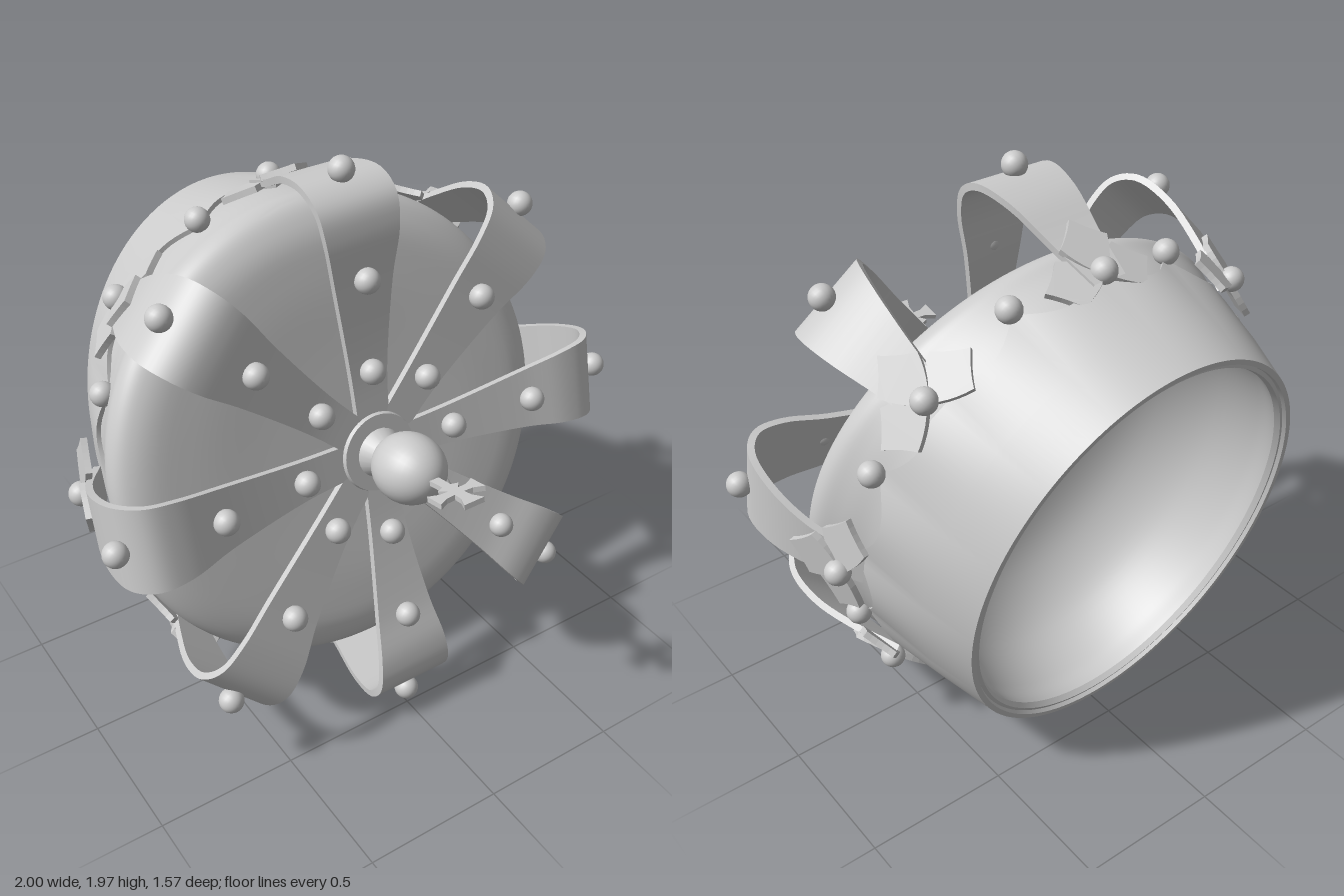
import * as THREE from 'three';
import { toCreasedNormals } from 'three/addons/utils/BufferGeometryUtils.js';

const silver = new THREE.MeshStandardMaterial({ color: 0xcccccc });
silver.name = 'silver';

function part(name, geometry, parent, x = 0, y = 0, z = 0) {
  const mesh = new THREE.Mesh(geometry, silver);
  mesh.name = name;
  mesh.position.set(x, y, z);
  parent.add(mesh);
  return mesh;
}

// Skin of n-sided closed loops, stacked over rows; point(i, j) returns [x, y, z]
function skin(n, rows, point, crease = 0.7) {
  const pos = [], idx = [];
  for (let j = 0; j < rows; j++) for (let i = 0; i < n; i++) pos.push(...point(i, j));
  for (let j = 0; j < rows - 1; j++) for (let i = 0; i < n; i++) {
    const k = (i + 1) % n, a = j * n + i, b = j * n + k, c = b + n, d = a + n;
    idx.push(a, b, c, a, c, d);
  }
  const g = new THREE.BufferGeometry();
  g.setAttribute('position', new THREE.Float32BufferAttribute(pos, 3));
  g.setIndex(idx);
  return toCreasedNormals(g, crease);
}

// Oval revolution: rows of [half width, half depth, height]; edge adds to the height
function oval(rows, edge = () => 0, n = 128) {
  return skin(n, rows.length, (i, j) => {
    const a = (i / n) * Math.PI * 2, [w, d, h] = rows[j];
    return [w * Math.sin(a), h + edge(a, j), d * Math.cos(a)];
  });
}

// Smooth the rows of a profile
function smooth(rows, count) {
  return new THREE.CatmullRomCurve3(rows.map(r => new THREE.Vector3(...r)))
    .getPoints(count).map(p => [Math.max(p.x, 0), Math.max(p.y, 0), p.z]);
}

// Curved strap, wider at the shoulder, from the hub out and down to the band
function strapGeometry(angle) {
  const foot = 0.82 - 0.03 * Math.cos(2 * angle + Math.PI);
  const pts = [[0.1, 0.885], [0.29, 0.895], [0.6, 0.932], [0.76, 0.962], [0.86, 0.95], [0.92, 0.88],
    [0.93, 0.74], [0.885, 0.56], [foot, 0.39]];
  const widths = [0.06, 0.07, 0.108, 0.135, 0.145, 0.145, 0.125, 0.09, 0.06];
  const curve = new THREE.CatmullRomCurve3(pts.map(([r, h], i) => new THREE.Vector3(widths[i], h, r)));
  const rows = 41;
  return skin(4, rows, (i, j) => {
    const p = curve.getPoint(j / (rows - 1)), t = curve.getTangent(j / (rows - 1));
    const len = Math.hypot(t.y, t.z), side = i === 0 || i === 3 ? 1 : -1, out = i < 2 ? 0.012 : -0.012;
    return [side * p.x, p.y + (out * t.z) / len, p.z - (out * t.y) / len];
  });
}

// Broad pointed petal growing along +y
function petalGeometry() {
  const s = new THREE.Shape();
  s.moveTo(-0.015, 0);
  s.quadraticCurveTo(-0.065, 0.05, -0.09, 0.115);
  s.quadraticCurveTo(-0.04, 0.15, 0, 0.2);
  s.quadraticCurveTo(0.04, 0.15, 0.09, 0.115);
  s.quadraticCurveTo(0.065, 0.05, 0.015, 0);
  s.closePath();
  return new THREE.ExtrudeGeometry(s, { depth: 0.022, bevelEnabled: false, curveSegments: 5 });
}

// Small cross with flared arms on a stem
function crossGeometry() {
  const s = new THREE.Shape();
  const half = [[0.018, -0.14], [0.016, -0.05], [0.04, -0.04], [0.018, -0.016], [0.05, -0.018], [0.085, -0.036],
    [0.085, 0.036], [0.05, 0.018], [0.018, 0.016], [0.02, 0.05], [0.038, 0.09]];
  half.forEach(([x, y], i) => (i ? s.lineTo(x, y) : s.moveTo(x, y)));
  [...half].reverse().forEach(([x, y]) => s.lineTo(-x, y));
  return new THREE.ExtrudeGeometry(s, { depth: 0.018, bevelEnabled: false }).translate(0, 0, -0.009);
}

export function createModel() {
  const model = new THREE.Group();
  model.name = 'crown';
  // The crown lies tipped on its band, its axis leaning toward the front
  const crown = new THREE.Group();
  crown.name = 'tiltedCrown';
  crown.position.set(0, 0.796, -0.595);
  crown.rotation.x = 1.34;
  model.add(crown);

  // Flared oval band with a scalloped upper edge
  const scallop = a => 0.085 * (1 - Math.abs(Math.sin(8 * a)));
  part('band', oval([[0.65, 0.806, 0], [0.715, 0.826, 0.18], [0.778, 0.848, 0.375], [0.762, 0.832, 0.375],
    [0.7, 0.8, 0.2]], (a, j) => (j === 2 || j === 3 ? scallop(a) : 0), 192), crown);

  // Soft cap swelling above the band, its top sagging a little to one side
  const capRows = smooth([[0.73, 0.81, 0.28], [0.768, 0.83, 0.42], [0.812, 0.83, 0.52], [0.843, 0.828, 0.62],
    [0.832, 0.802, 0.69], [0.77, 0.732, 0.736], [0.6, 0.58, 0.752], [0.3, 0.29, 0.748], [0, 0, 0.745]], 40);
  const sag = (a, j) => (0.045 * capRows[j][1] * Math.cos(a) - 0.035) * THREE.MathUtils.smoothstep(capRows[j][2], 0.5, 0.74);
  part('cap', oval(capRows, sag), crown);

  // Hollow inner lining, rolling out to the rim
  part('lining', oval(smooth([[0, 0, 0.65], [0.27, 0.33, 0.615], [0.47, 0.58, 0.5], [0.585, 0.725, 0.32],
    [0.618, 0.768, 0.12], [0.607, 0.759, 0.03]], 30)), crown);
  part('rim', oval([[0.607, 0.759, 0.03], [0.615, 0.768, 0.01], [0.628, 0.782, 0.014], [0.632, 0.787, 0], [0.65, 0.806, 0]]), crown);

  const pearl = new THREE.SphereGeometry(0.043, 20, 14);
  const petal = petalGeometry();
  for (let k = 0; k < 8; k++) {
    const angle = (k * Math.PI) / 4;
    const arm = new THREE.Group();
    arm.name = 'arch';
    arm.rotation.y = angle;
    crown.add(arm);
    part('strap', strapGeometry(angle), arm);
    for (const [r, h] of [[0.295, 0.928], [0.612, 0.962], [0.957, 0.89]]) part('strapPearl', pearl, arm, 0, h, r);

    // Three-petalled flower at the foot of the strap: one petal up, two sideways
    const flower = new THREE.Group();
    flower.name = 'flower';
    flower.position.set(0, 0.425, 0.848);
    flower.rotation.x = 0.24;
    arm.add(flower);
    for (const q of [-1, 0, 1]) {
      const turn = new THREE.Group();
      turn.name = 'petalTurn';
      turn.rotation.z = q * 1.5;
      flower.add(turn);
      part('petal', petal, turn).rotation.x = q ? -0.16 : 0.1;
    }
    part('flowerPearl', pearl, flower, 0, 0, 0.025);

    // Pearl on the scallop peak between two flowers
    const mid = angle + Math.PI / 8;
    part('bandPearl', pearl, crown, 0.806 * Math.sin(mid), 0.466, 0.87 * Math.cos(mid));
  }

  // Hub, orb and cross
  part('hub', new THREE.CylinderGeometry(0.135, 0.145, 0.035, 40), crown, 0, 0.895, 0);
  part('neck', new THREE.CylinderGeometry(0.05, 0.09, 0.07, 24), crown, 0, 0.94, 0);
  part('orb', new THREE.SphereGeometry(0.118, 32, 20), crown, 0, 1.078, 0).scale.y = 1.16;
  part('cross', crossGeometry(), crown, 0, 1.328, 0);
  return model;
}
